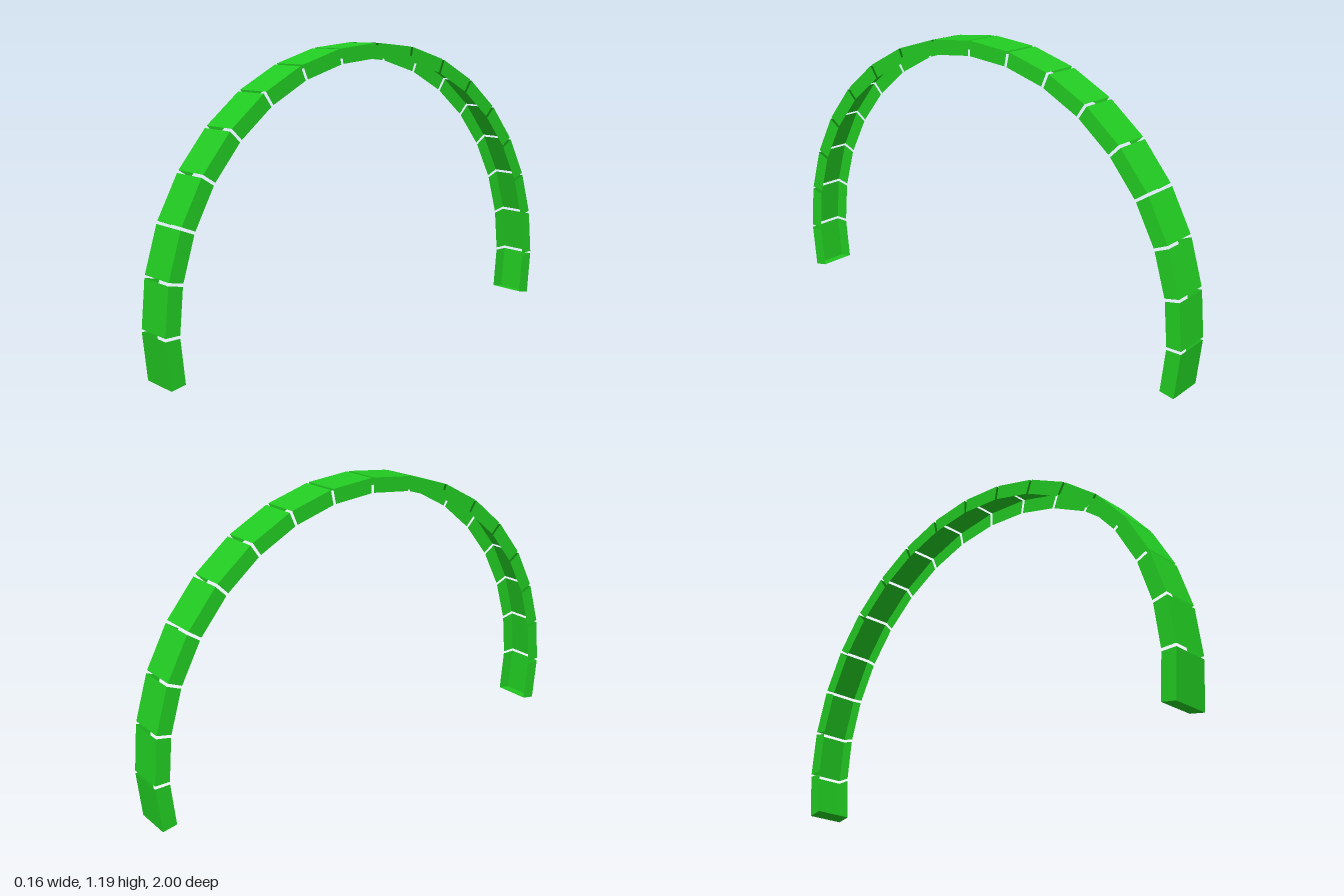
import * as THREE from 'three';

const COUNT = 18;                 // segments along the arch
const STEP = Math.PI / 16;        // angle per segment
const GAP = 0.012;                // opening between neighbours
const OUTER = 1, INNER = 0.94, HALF_WIDTH = 0.0785;
const HALF_GAP = GAP / 2;
const CENTRE_Y = OUTER * Math.sin(STEP - HALF_GAP);

// Point in the arch plane; angle 0 is the front, PI the back.
// shift slides it along the tangent to leave a gap.
function point(x, radius, angle, shift) {
  const a = angle + shift / OUTER;
  return [x, CENTRE_Y + radius * Math.sin(a), radius * Math.cos(a)];
}

// Two triangles, corners counter-clockwise from outside
const quad = (a, b, c, d) => [...a, ...b, ...c, ...a, ...c, ...d];

// Channel section: outer plate and two side walls, open toward the inside
function segmentGeometry(start, capStart, capEnd) {
  const w = HALF_WIDTH, end = start + STEP;
  const corners = (angle, shift) => [
    point(-w, OUTER, angle, shift), point(w, OUTER, angle, shift),
    point(w, INNER, angle, shift), point(-w, INNER, angle, shift),
  ];
  const s = corners(start, HALF_GAP), e = corners(end, -HALF_GAP);
  const positions = [
    ...quad(s[0], s[1], e[1], e[0]),   // outer plate
    ...quad(s[1], s[2], e[2], e[1]),   // left wall
    ...quad(s[3], s[0], e[0], e[3]),   // right wall
  ];
  if (capStart) positions.push(...quad(s[3], s[2], s[1], s[0]));
  if (capEnd) positions.push(...quad(e[0], e[1], e[2], e[3]));
  const geometry = new THREE.BufferGeometry();
  geometry.setAttribute('position', new THREE.Float32BufferAttribute(positions, 3));
  geometry.computeVertexNormals();
  return geometry;
}

export function createModel() {
  const green = new THREE.MeshStandardMaterial({ color: 0x22cc22, side: THREE.DoubleSide });
  green.name = 'bright green';

  const arch = new THREE.Group();
  arch.name = 'segmentedArch';
  for (let i = 0; i < COUNT; i++) {
    // Only the two feet are closed at their free ends
    const geometry = segmentGeometry((i - 1) * STEP, i === 0, i === COUNT - 1);
    const segment = new THREE.Mesh(geometry, green);
    segment.name = `archSegment${i + 1}`;
    arch.add(segment);
  }
  return arch;
}
